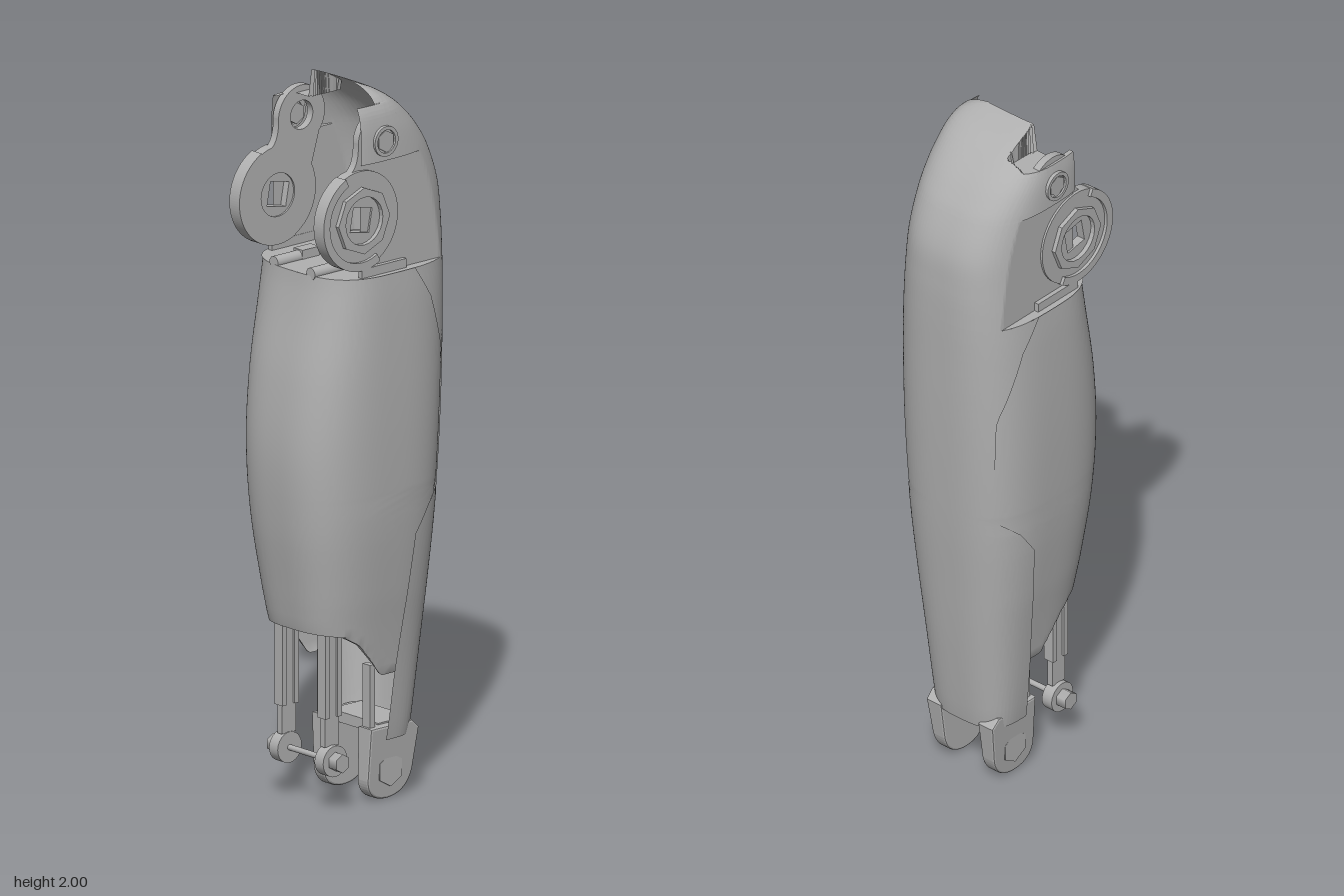
import * as THREE from 'three';
import { toCreasedNormals } from 'three/addons/utils/BufferGeometryUtils.js';

const grey = new THREE.MeshStandardMaterial({ color: 0xb0b0b0, side: THREE.DoubleSide });
grey.name = 'plain grey';

// Body sections: y, right edge, left edge, half depth, widest x
const SECTIONS = [
  [0.15, 0.158, -0.18, 0.122, 0.05], [0.2, 0.167, -0.18, 0.13, 0.05],
  [0.4, 0.19, -0.185, 0.153, 0.03], [0.5, 0.2, -0.2, 0.166, 0.02],
  [0.6, 0.209, -0.217, 0.18, 0.01], [0.8, 0.226, -0.246, 0.201, 0],
  [1.0, 0.238, -0.257, 0.21, 0], [1.2, 0.247, -0.24, 0.212, 0],
  [1.4, 0.253, -0.203, 0.208, 0], [1.49, 0.255, -0.19, 0.203, 0],
  [1.6, 0.254, -0.19, 0.195, 0], [1.7, 0.244, -0.19, 0.19, -0.01],
  [1.8, 0.206, -0.19, 0.186, -0.02], [1.86, 0.166, -0.19, 0.183, -0.03],
  [1.9, 0.13, -0.19, 0.179, -0.04], [1.94, 0.083, -0.19, 0.17, -0.04],
  [1.97, 0.035, -0.19, 0.151, -0.04], [1.99, -0.01, -0.19, 0.115, -0.04],
  [2.0, -0.037, -0.19, 0.075, -0.04],
];
// Seam between shin and calf (y, x) and lower hem of the calf (x, y)
const SEAM = [[0.15, 0.035], [0.36, 0.045], [0.75, 0.08], [0.82, 0.13], [0.88, 0.2],
  [1.2, 0.2], [1.4, 0.13], [1.49, 0.07]];
const HEM = [[-0.2, 0.5], [-0.13, 0.49], [-0.08, 0.46], [-0.03, 0.4], [0, 0.36]];

// Look up a row of a table, with straight or smooth steps between rows
function sample(table, k, smooth = false) {
  const last = table.length - 1;
  if (k <= table[0][0]) return table[0];
  if (k >= table[last][0]) return table[last];
  const i = table.findIndex(row => row[0] > k) - 1;
  const a = table[i], b = table[i + 1], h = b[0] - a[0], t = (k - a[0]) / h;
  if (!smooth) return a.map((v, j) => v + (b[j] - v) * t);
  const p = table[Math.max(i - 1, 0)], q = table[Math.min(i + 2, last)];
  return a.map((v, j) => {
    const m0 = (b[j] - p[j]) / (b[0] - p[0]) * h, m1 = (q[j] - v) / (q[0] - a[0]) * h;
    const d = b[j] - v;
    return v + m0 * t + (3 * d - 2 * m0 - m1) * t * t + (m0 + m1 - 2 * d) * t ** 3;
  });
}

// Boxy oval outline at height y; the arc starts and ends at x = cut,
// around the right side, or around the left side when left is true
const POWER = 3;
function ring(y, cut, left, n = 96) {
  const [, xr, xl, w, xc] = sample(SECTIONS, y, true);
  const u = THREE.MathUtils.clamp((cut - xc) / (cut > xc ? xr - xc : xc - xl), -1, 1);
  const end = Math.acos(Math.sign(u) * Math.abs(u) ** (POWER / 2));
  const [a, b] = left ? [end, 2 * Math.PI - end] : [-end, end];
  const pts = [];
  for (let i = 0; i <= n; i++) {
    const t = a + (b - a) * i / n, c = Math.cos(t), s = Math.sin(t);
    const x = xc + Math.sign(c) * Math.abs(c) ** (2 / POWER) * (c > 0 ? xr - xc : xc - xl);
    pts.push([x, y, Math.sign(s) * Math.abs(s) ** (2 / POWER) * w]);
  }
  return pts;
}

function loft(rings) {
  const n = rings[0].length, index = [];
  for (let r = 0; r < rings.length - 1; r++) {
    for (let i = 0; i < n - 1; i++) {
      const a = r * n + i, b = a + n;
      index.push(a, b, a + 1, b, b + 1, a + 1);
    }
  }
  const g = new THREE.BufferGeometry();
  g.setAttribute('position', new THREE.Float32BufferAttribute(rings.flat(2), 3));
  g.setIndex(index);
  return toCreasedNormals(g, 0.6);
}

// Even heights between two limits, with any extra heights mixed in
function heights(from, to, n, extra = []) {
  const ys = [...extra];
  for (let i = 0; i <= n; i++) ys.push(from + (to - from) * i / n);
  return ys.sort((a, b) => a - b);
}

function add(parent, name, geometry, x = 0, y = 0, z = 0) {
  const m = new THREE.Mesh(geometry, grey);
  m.name = name;
  m.position.set(x, y, z);
  parent.add(m);
}

function polygon(path, r, sides, turn = 0) {
  for (let i = 0; i < sides; i++) {
    const a = turn + i * 2 * Math.PI / sides;
    path[i ? 'lineTo' : 'moveTo'](r * Math.cos(a), r * Math.sin(a));
  }
  path.closePath();
  return path;
}

// Flat disc with a polygonal hole
function washer(r, sides, hole, holeSides, depth, turn = 0) {
  const s = polygon(new THREE.Shape(), r, sides);
  s.holes.push(polygon(new THREE.Path(), hole, holeSides, turn));
  return new THREE.ExtrudeGeometry(s, { depth, bevelEnabled: false });
}

const rodZ = (r, len, sides = 24) => new THREE.CylinderGeometry(r, r, len, sides).rotateX(Math.PI / 2);

export function createModel() {
  const model = new THREE.Group();
  model.name = 'lowerLeg';

  // Shin shell, open towards the calf
  add(model, 'shinShell', loft(heights(0.17, 1.49, 44, [0.75, 0.82, 0.88])
    .map(y => ring(y, sample(SEAM, y)[1], false))));

  // Calf shell, set slightly in behind the seam, with a curved hem
  add(model, 'calfShell', loft(heights(0.34, 1.49, 46, [0.75, 0.82, 0.88])
    .map(y => ring(y, sample(SEAM, y)[1] + 0.012, true)
      .map(([x, h, z]) => [x, Math.max(h, sample(HEM, x)[1]), z * 0.972]))));

  // Flat ledge on top of the calf
  const rim = ring(1.49, -0.19, false);
  add(model, 'calfLedge', loft([rim, rim.map(p => [0, p[1], 0])]));

  // Knee dome with flat side recesses and a pocket at the back
  const domeRows = [...heights(1.49, 1.9, 36, [1.799, 1.801]),
    ...heights(1.904, 2, 36, [1.919, 1.921, 1.954, 1.956])];
  add(model, 'kneeDome', loft(domeRows.map(y => ring(y, y > 1.955 ? -0.04 : -0.1, false, 240)
    .map(([x, h, z]) => {
      const recessed = h < 1.8 && x < 0.2 - (h - 1.49) * 0.12;
      const pocket = z < -0.09 && x < 0.07;
      return [x, pocket ? Math.min(h, 1.92) : h,
        recessed ? THREE.MathUtils.clamp(z, -0.172, 0.172) : z];
    }))));

  // Pins and block lying on the ledge
  for (const s of [-1, 1]) {
    const len = s > 0 ? 0.145 : 0.09;
    add(model, 'ledgePin', new THREE.CylinderGeometry(0.017, 0.017, len, 20).rotateZ(Math.PI / 2),
      -0.187 + len / 2, 1.495, 0.073 * s);
  }
  add(model, 'ledgeBlock', new THREE.BoxGeometry(0.06, 0.03, 0.036), -0.07, 1.5, -0.073);

  // Parts repeated on both sides
  for (const s of [1, -1]) {
    const side = new THREE.Group();
    side.name = s > 0 ? 'frontSide' : 'backSide';
    side.scale.z = s;
    model.add(side);

    // Knee link plate with a curved neck
    const link = new THREE.Shape();
    link.absarc(-0.105, 1.65, 0.13, 1.18 + 0.75, 1.18 - 0.75 + 2 * Math.PI, false);
    link.absarc(-0.02, 1.855, 0.083, 1.18 - 1.9, 1.18 + 1.9, false);
    link.quadraticCurveTo(-0.1, 1.785, -0.15, 1.772);
    link.holes.push(new THREE.Path().absarc(-0.02, 1.855, 0.04, 0, 2 * Math.PI, true));
    link.holes.push(new THREE.Path().absarc(-0.105, 1.65, 0.06, 0, 2 * Math.PI, true));
    add(side, 'kneeLink', new THREE.ExtrudeGeometry(link,
      { depth: 0.022, bevelEnabled: false, curveSegments: 32 }), 0, 0, 0.147);

    // Knee joint disc with an open outer rim, its nut and the upper bolt
    add(side, 'kneeDisc', washer(0.136, 48, 0.075, 32, 0.031), -0.105, 1.65, 0.147);
    const rimArc = new THREE.Shape();
    rimArc.absarc(0, 0, 0.138, 2.0, 5.2, false);
    rimArc.absarc(0, 0, 0.115, 5.2, 2.0, true);
    add(side, 'kneeRim', new THREE.ExtrudeGeometry(rimArc,
      { depth: 0.04, bevelEnabled: false, curveSegments: 32 }), -0.105, 1.65, 0.147);
    add(side, 'kneeNut', washer(0.092, 8, 0.066, 24, 0.043), -0.1, 1.65, 0.147);
    add(side, 'kneeSocket', washer(0.075, 24, 0.048, 4, 0.025, 0.6), -0.1, 1.65, 0.152);
    add(side, 'upperBoltRing', washer(0.042, 24, 0.032, 24, 0.012), -0.02, 1.855, 0.178);
    add(side, 'upperBolt', rodZ(0.03, 0.02, 6), -0.02, 1.855, 0.177);

    // Lip under the side recess
    add(side, 'recessLip', new THREE.BoxGeometry(0.16, 0.03, 0.014), -0.025, 1.5, 0.178);

    // Ankle fork prong with its screw
    const prong = new THREE.Shape();
    prong.moveTo(-0.005, 0.2);
    prong.lineTo(-0.008, 0.06);
    prong.quadraticCurveTo(-0.005, 0.007, 0.06, 0.006);
    prong.quadraticCurveTo(0.125, 0.008, 0.14, 0.07);
    prong.lineTo(0.156, 0.18);
    prong.lineTo(0.135, 0.2);
    prong.closePath();
    const fork = new THREE.ExtrudeGeometry(prong,
      { depth: 0.042, bevelThickness: 0.006, bevelSize: 0.006, bevelSegments: 2 });
    const p = fork.attributes.position;
    for (let i = 0; i < p.count; i++) {
      if (p.getZ(i) > 0.03) p.setZ(i, p.getZ(i) - (0.2 - p.getY(i)) * 0.07);
    }
    fork.computeVertexNormals();
    add(side, 'ankleProng', fork, 0, 0, 0.071);
    add(side, 'ankleScrew', rodZ(0.046, 0.012, 6), 0.065, 0.08, 0.107);

    // Push rod with raised edges and an eye at the end
    add(side, 'pushRod', new THREE.BoxGeometry(0.05, 0.7, 0.018), -0.13, 0.53, 0.085);
    for (const e of [-1, 1]) {
      add(side, 'pushRodEdge', new THREE.BoxGeometry(0.015, 0.62, 0.032), -0.13 + 0.022 * e, 0.57, 0.085);
    }
    add(side, 'pushRodEye', rodZ(0.043, 0.034), -0.13, 0.14, 0.09);
    add(side, 'pushRodNut', rodZ(0.026, 0.035, 6), -0.13, 0.14, 0.12);

    // Thin post between calf and ankle
    add(side, 'ankleMount', new THREE.BoxGeometry(0.018, 0.2, 0.03), 0.006, 0.28, 0.09);
  }

  // Cross pin between the push rods, and the bridge above the fork
  add(model, 'crossPin', rodZ(0.008, 0.2, 16), -0.13, 0.14, 0);
  add(model, 'ankleBridge', new THREE.BoxGeometry(0.11, 0.03, 0.19), 0.09, 0.195, 0);
  return model;
}
